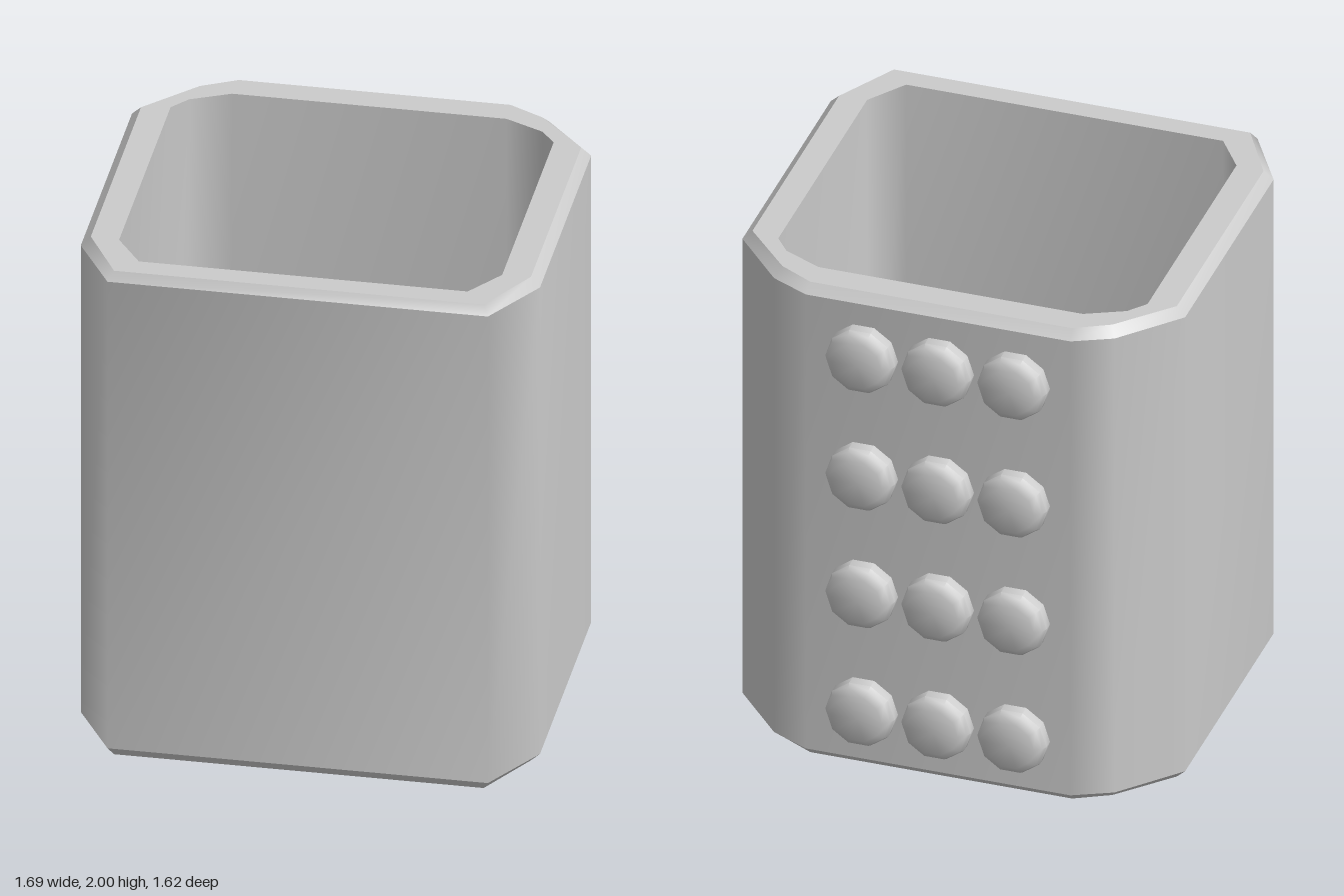
import * as THREE from 'three';
import { toCreasedNormals } from 'three/addons/utils/BufferGeometryUtils.js';

const grey = new THREE.MeshStandardMaterial({ color: 0xcccccc });

// Full outline from its +x half (listed back to front), mirrored across x = 0
const mirror = (half) => [...half, ...half.map(([x, z]) => [-x, z]).reverse()];

const outer = mirror([[0.505, -0.73], [0.65, -0.66], [0.845, -0.44], [0.845, 0.56], [0.7, 0.808]]);
const edge = mirror([[0.5, -0.695], [0.63, -0.625], [0.81, -0.43], [0.81, 0.55], [0.68, 0.785]]);
const inner = mirror([[0.505, -0.59], [0.65, -0.52], [0.705, -0.45], [0.705, 0.555], [0.605, 0.7]]);

// Smooth band of quads from outline a at height ya to outline b at height yb
function band(name, a, ya, b, yb, closed = true) {
  const n = a.length, pos = [], index = [];
  for (let i = 0; i < n; i++) pos.push(a[i][0], ya, a[i][1], b[i][0], yb, b[i][1]);
  for (let i = 0; i < (closed ? n : n - 1); i++) {
    const p = 2 * i, q = 2 * ((i + 1) % n);
    index.push(p, p + 1, q, p + 1, q + 1, q);
  }
  const geo = new THREE.BufferGeometry();
  geo.setAttribute('position', new THREE.Float32BufferAttribute(pos, 3));
  geo.setIndex(index);
  geo.computeVertexNormals();
  const mesh = new THREE.Mesh(geo, grey);
  mesh.name = name;
  return mesh;
}

export function createModel() {
  const model = new THREE.Group();
  model.name = 'studdedSleeve';
  const h = 2, bevel = 0.035;

  // Hollow body, open at both ends; the outer wall is creased where back meets sides
  const body = new THREE.Group();
  body.name = 'body';
  const front = outer.slice(2, 8);
  const back = [...outer.slice(7), ...outer.slice(0, 3)];
  body.add(
    band('frontAndSideWalls', front, bevel, front, h - bevel, false),
    band('backWall', back, bevel, back, h - bevel, false),
    band('topBevel', outer, h - bevel, edge, h),
    band('topRim', edge, h, inner, h),
    band('innerWall', inner, h, inner, 0),
    band('bottomRim', inner, 0, edge, 0),
    band('bottomBevel', edge, 0, outer, bevel),
  );
  model.add(body);

  // Rounded ten-sided studs on the back, three columns by four rows
  const profile = [[0.132, 0], [0.132, 0.05], [0.122, 0.07], [0.095, 0.088], [0, 0.088]]
    .map(([r, y]) => new THREE.Vector2(r, y));
  const studGeo = toCreasedNormals(
    new THREE.LatheGeometry(profile, 10, Math.PI / 2).rotateX(-Math.PI / 2), 0.7);
  const studs = new THREE.Group();
  studs.name = 'backStuds';
  for (const x of [-0.295, -0.005, 0.285]) {
    for (let row = 0; row < 4; row++) {
      const stud = new THREE.Mesh(studGeo, grey);
      stud.name = 'stud';
      stud.position.set(x, 0.248 + row * 0.5, -0.72);
      studs.add(stud);
    }
  }
  model.add(studs);
  return model;
}
